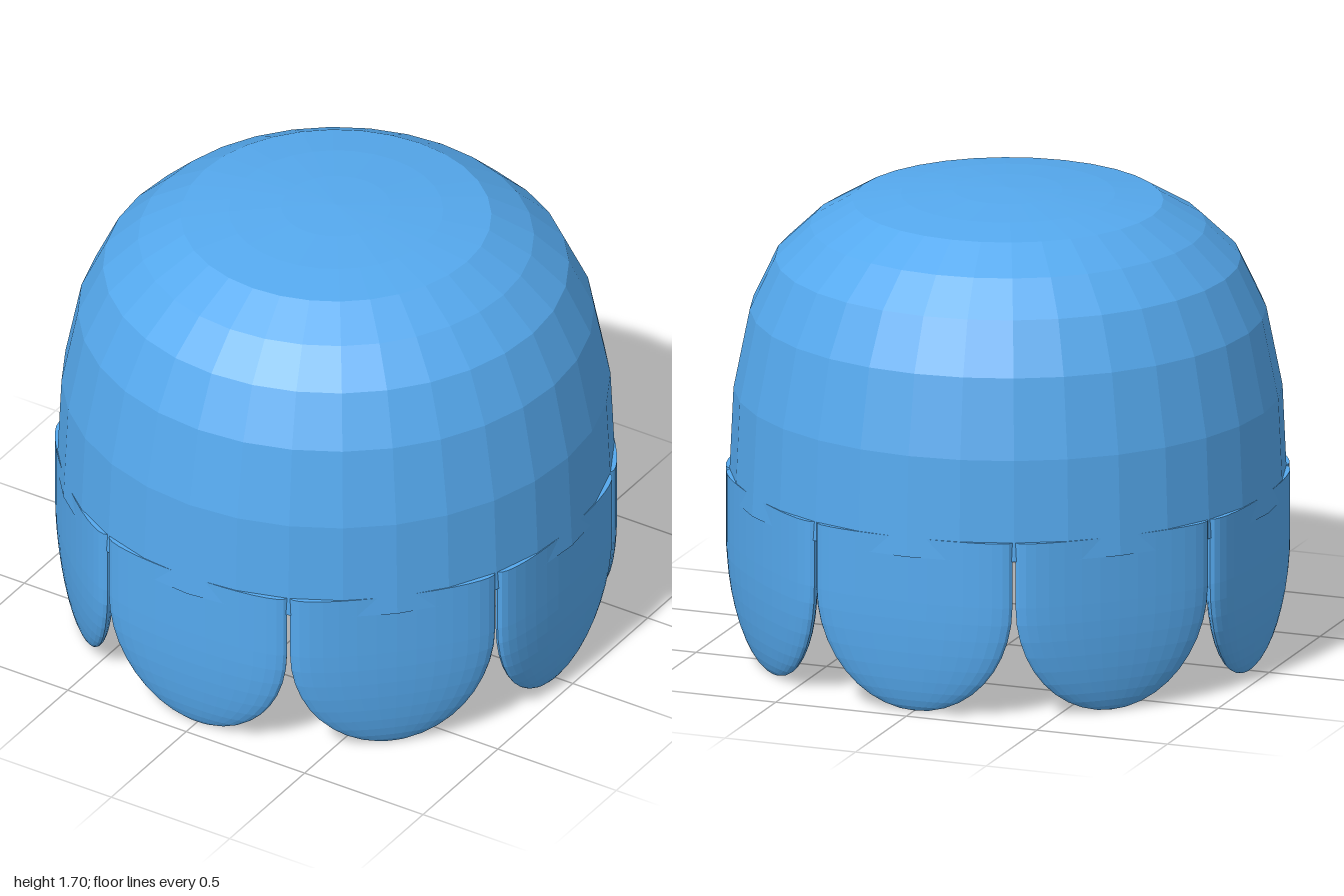
import * as THREE from 'three';

export function createModel() {
  const model = new THREE.Group();
  model.name = 'petalledDome';
  const material = new THREE.MeshStandardMaterial({
    color: 0x55a9ee, flatShading: true, side: THREE.DoubleSide,
  });
  const lathe = (points, sides) =>
    new THREE.LatheGeometry(points.map(([r, y]) => new THREE.Vector2(r, y)), sides);

  // Open-bottomed faceted dome
  const dome = new THREE.Mesh(lathe([
    [0.997, 0.59], [0.98, 0.96], [0.922, 1.25], [0.832, 1.44], [0.707, 1.56],
    [0.555, 1.65], [0.383, 1.675], [0.195, 1.69], [0, 1.697],
  ], 32), material);
  dome.name = 'dome';
  model.add(dome);

  // Petal: half an ellipsoid with a straight upper part, squashed front to back
  const halfWidth = 0.375, halfDepth = 0.068, tipHeight = 0.42, topY = 0.66;
  const profile = [];
  const rings = 10;
  for (let i = 0; i <= rings; i++) {
    const a = (i / rings) * Math.PI / 2;
    profile.push([Math.sin(a), tipHeight * (1 - Math.cos(a))]);
  }
  profile.push([1, topY], [0, topY]);
  const petalGeometry = lathe(profile, 32).scale(halfWidth, 1, halfDepth);
  petalGeometry.translate(0, 0, 0.92);

  // Ring of eight petals under the rim
  const petals = new THREE.Group();
  petals.name = 'petals';
  for (let i = 0; i < 8; i++) {
    const petal = new THREE.Mesh(petalGeometry, material);
    petal.name = `petal${i + 1}`;
    petal.rotation.y = (i * Math.PI) / 4;
    petals.add(petal);
  }
  model.add(petals);
  return model;
}
